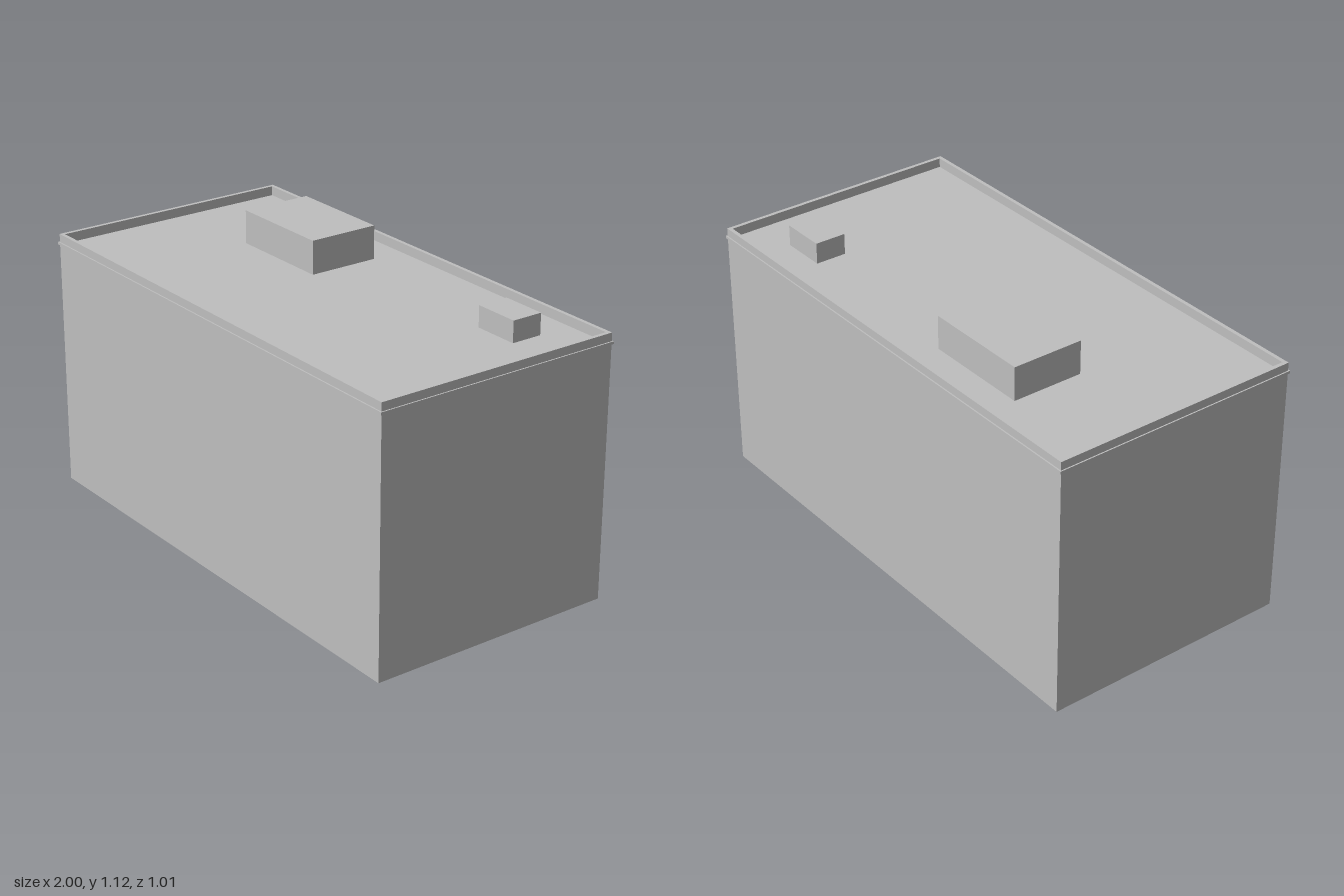
import * as THREE from 'three';

const W = 1.99, D = 0.996, ROOF = 0.99, TOP = 1.027;

export function createModel() {
  const model = new THREE.Group();
  model.name = 'flatRoofBuilding';
  const concrete = new THREE.MeshStandardMaterial({ color: 0xbfbfbf, side: THREE.DoubleSide });
  concrete.name = 'concrete grey';

  const add = (name, geometry, x = 0, y = 0, z = 0) => {
    const mesh = new THREE.Mesh(geometry, concrete);
    mesh.name = name;
    mesh.position.set(x, y, z);
    model.add(mesh);
    return mesh;
  };

  const rectangle = (target, w, d) => {
    target.moveTo(-w / 2, -d / 2);
    target.lineTo(w / 2, -d / 2);
    target.lineTo(w / 2, d / 2);
    target.lineTo(-w / 2, d / 2);
    target.closePath();
    return target;
  };

  // Horizontal rectangular frame between two heights
  const frame = (name, w, d, thickness, y0, y1) => {
    const shape = rectangle(new THREE.Shape(), w, d);
    shape.holes.push(rectangle(new THREE.Path(), w - 2 * thickness, d - 2 * thickness));
    const geometry = new THREE.ExtrudeGeometry(shape, { depth: y1 - y0, bevelEnabled: false });
    geometry.rotateX(-Math.PI / 2);
    add(name, geometry, 0, y0, 0);
  };

  // Thin outer walls, open underneath
  ['frontWall', 'leftWall', 'backWall', 'rightWall'].forEach((name, i) => {
    const side = i % 2 === 1;
    const geometry = new THREE.PlaneGeometry(side ? D : W, ROOF);
    geometry.translate(0, ROOF / 2, (side ? W : D) / 2);
    geometry.rotateY(i * Math.PI / 2);
    add(name, geometry);
  });

  // Roof deck, parapet and the narrow moulding around it
  add('roofDeck', new THREE.PlaneGeometry(W, D).rotateX(-Math.PI / 2), 0, ROOF, 0);
  frame('parapet', W, D, 0.015, ROOF, TOP);
  frame('moulding', 2, 1.007, 0.006, 0.985, 0.995);

  // Rooftop housings, given by their extents and top height
  const housing = (name, x0, x1, z0, z1, top) => add(
    name, new THREE.BoxGeometry(x1 - x0, top - ROOF, z1 - z0),
    (x0 + x1) / 2, (top + ROOF) / 2, (z0 + z1) / 2);
  housing('largeRoofHousing', -0.572, -0.144, -0.355, -0.071, 1.122);
  housing('smallRoofHousing', 0.618, 0.799, -0.347, -0.223, 1.073);

  return model;
}
